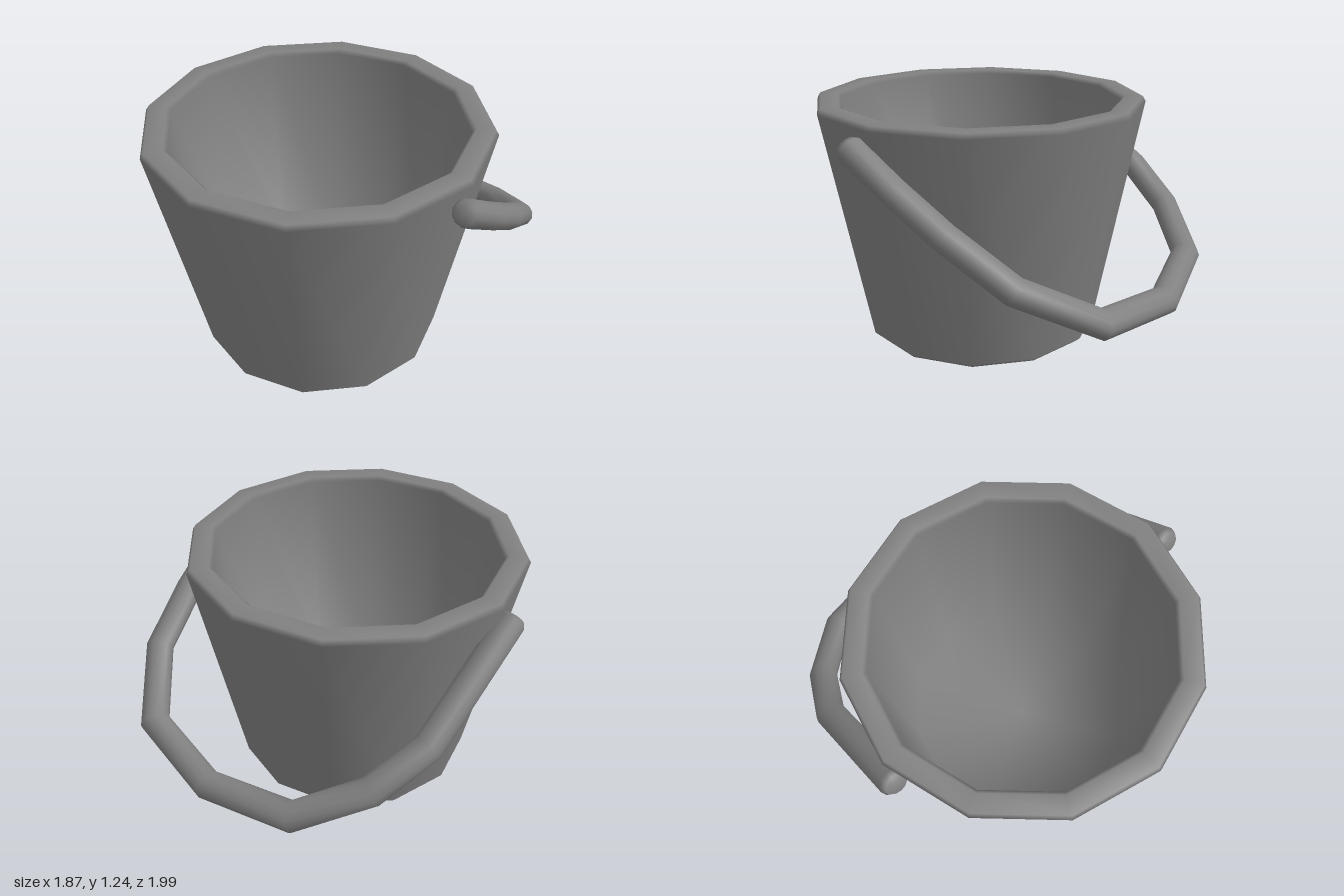
import * as THREE from 'three';

// Tube with mitred bends along a path lying in the plane with normal N
function bentBar(path, N, rSide, rNormal, sides) {
  const rings = [];
  const last = path.length - 1;
  const dir = (a, b) => b.clone().sub(a).normalize();
  path.forEach((p, i) => {
    const before = dir(path[Math.max(i - 1, 0)], path[Math.max(i, 1)]);
    const after = dir(path[Math.min(i, last - 1)], path[Math.min(i + 1, last)]);
    const t = before.clone().add(after).normalize();
    const ring = { p, t, side: t.clone().cross(N).normalize(), miter: 1 / t.dot(after) };
    const at = (shift, scale) =>
      rings.push({ ...ring, p: p.clone().addScaledVector(t, shift), scale });
    // Rounded-off caps at both ends
    if (i === 0) { at(0, 0); at(0, 0.75); at(0.025, 1); }
    else if (i === last) { at(-0.025, 1); at(0, 0.75); at(0, 0); }
    else at(0, 1);
  });
  const pos = [], idx = [];
  rings.forEach(({ p, side, miter, scale }, i) => {
    for (let j = 0; j < sides; j++) {
      const a = (j / sides) * Math.PI * 2;
      const v = p.clone()
        .addScaledVector(side, Math.cos(a) * rSide * miter * scale)
        .addScaledVector(N, Math.sin(a) * rNormal * scale);
      pos.push(v.x, v.y, v.z);
      if (i === rings.length - 1) continue;
      const k = (j + 1) % sides, r = i * sides, s = r + sides;
      idx.push(r + j, s + j, r + k, r + k, s + j, s + k);
    }
  });
  const g = new THREE.BufferGeometry();
  g.setAttribute('position', new THREE.Float32BufferAttribute(pos, 3));
  g.setIndex(idx);
  g.computeVertexNormals();
  return g;
}

export function createModel() {
  const group = new THREE.Group();
  group.name = 'bucket';
  const grey = new THREE.MeshStandardMaterial({ color: 0x808080 });
  grey.name = 'grey';

  // Twelve-sided pail: underside, outer wall, rim, inner wall, floor
  const profile = [
    [0, 0], [0.605, 0], [0.625, 0.02], [0.845, 1.215], [0.83, 1.24],
    [0.74, 1.24], [0.722, 1.22], [0.59, 0.1], [0, 0.1],
  ].map(([r, y]) => new THREE.Vector2(r, y));
  const pail = new THREE.Mesh(new THREE.LatheGeometry(profile, 12), grey);
  pail.name = 'pail';
  pail.position.set(-0.015, 0, 0.15);
  group.add(pail);

  // Handle hanging down behind the pail, in a sloping plane
  const slope = 0.66;
  const path = [
    [-0.868, 0.235], [-0.855, -0.35], [-0.74, -0.6], [-0.475, -0.84], [0, -0.925],
    [0.485, -0.84], [0.755, -0.555], [0.83, -0.25], [0.855, 0.0], [0.86, 0.26],
  ].map(([x, z]) => new THREE.Vector3(x, 0.365 + (z + 0.925) * slope, z));
  const normal = new THREE.Vector3(0, 1, -slope).normalize();
  const handle = new THREE.Mesh(bentBar(path, normal, 0.072, 0.065, 12), grey);
  handle.name = 'handle';
  group.add(handle);

  return group;
}
